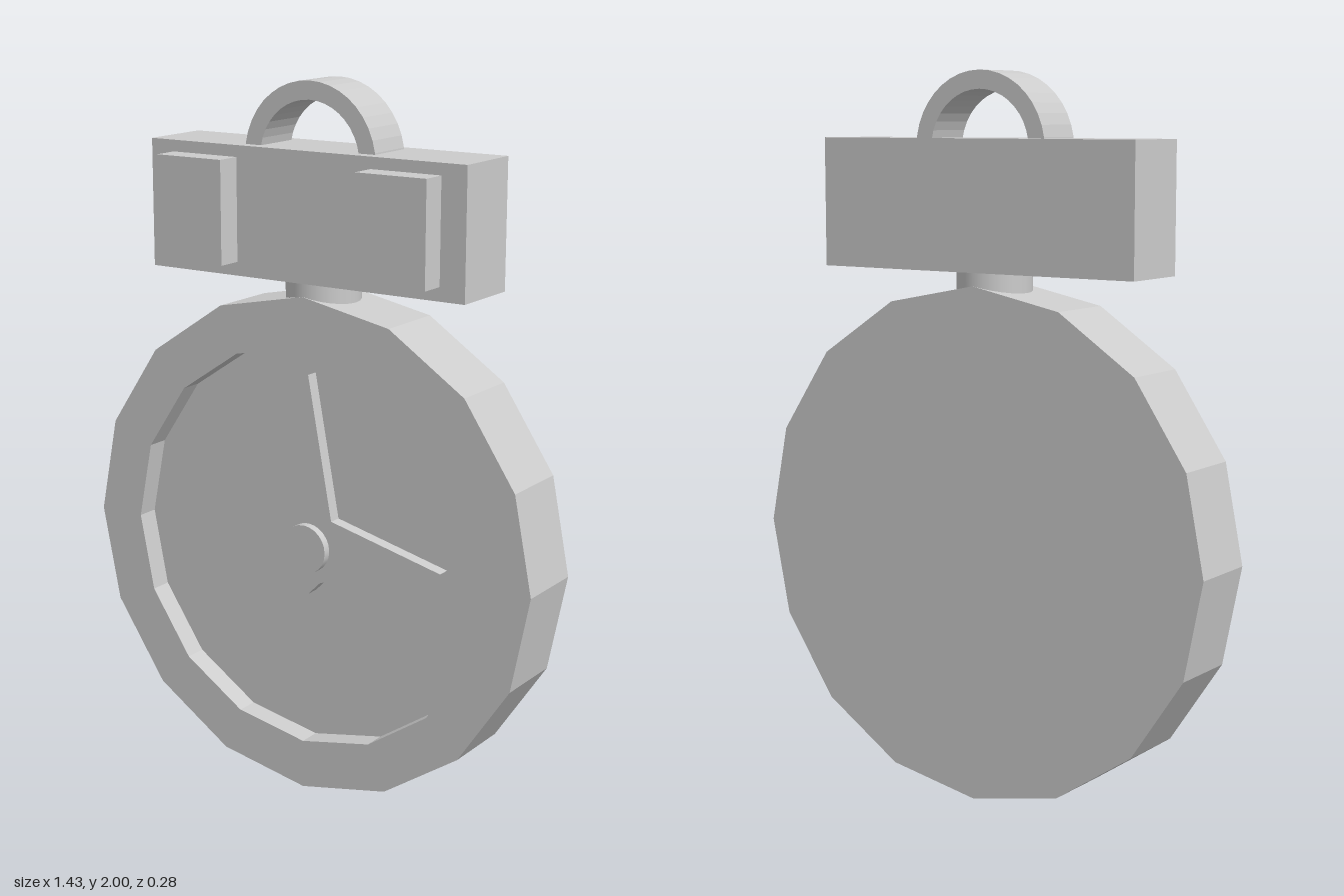
import * as THREE from 'three';

export function createModel() {
  const group = new THREE.Group();
  const material = new THREE.MeshStandardMaterial({ color: 0xcccccc, flatShading: true });
  const smooth = new THREE.MeshStandardMaterial({ color: 0xcccccc });
  const BACK = -0.14, FRONT = 0.07, FLOOR = 0.005, MID = (BACK + FRONT) / 2;
  const DIAL_Y = 0.717;

  function add(name, geometry, x, y, z, mat = material) {
    const mesh = new THREE.Mesh(geometry, mat);
    mesh.name = name;
    mesh.position.set(x, y, z);
    group.add(mesh);
    return mesh;
  }
  const extrude = (shape, depth, curveSegments = 12) =>
    new THREE.ExtrudeGeometry(shape, { depth, bevelEnabled: false, curveSegments });

  // Sixteen-sided case with a recessed face, turned to look along z
  const profile = [
    [0, BACK], [0.713, BACK], [0.713, FRONT], [0.573, FRONT], [0.573, FLOOR], [0, FLOOR],
  ].map(([r, h]) => new THREE.Vector2(r, h));
  add('dialCase', new THREE.LatheGeometry(profile, 16).rotateX(Math.PI / 2), 0, DIAL_Y, 0);

  // Joined pair of pointers lying on the face
  const hands = new THREE.Shape([
    [0, 0.493], [-0.1, -0.032], [0, -0.137], [0.04, -0.097], [0.425, 0.003], [0.076, 0.088],
  ].map(([x, y]) => new THREE.Vector2(x, y)));
  add('hands', extrude(hands, 0.037), 0, DIAL_Y, FLOOR);
  add('handPivot', new THREE.CylinderGeometry(0.07, 0.07, 0.06, 24).rotateX(Math.PI / 2),
    0, DIAL_Y, FLOOR + 0.03, smooth);

  // Neck, crossbar and its two front blocks
  add('neck', new THREE.CylinderGeometry(0.104, 0.104, 0.12, 24), 0, 1.43, MID, smooth);
  add('crossbar', new THREE.BoxGeometry(1, 0.355, FRONT - BACK), 0, 1.643, MID);
  for (const side of [1, -1]) {
    add(side > 0 ? 'leftBlock' : 'rightBlock',
      new THREE.BoxGeometry(0.212, 0.285, 0.09), side * 0.319, 1.646, 0.098);
  }

  // Half-ring hanger set into the top of the crossbar
  const ring = new THREE.Shape();
  ring.absarc(0, 0, 0.208, 0, Math.PI, false);
  ring.absarc(0, 0, 0.158, Math.PI, 0, true);
  add('hangerRing', extrude(ring, 0.143, 10), 0, 1.792, -0.107);

  return group;
}
